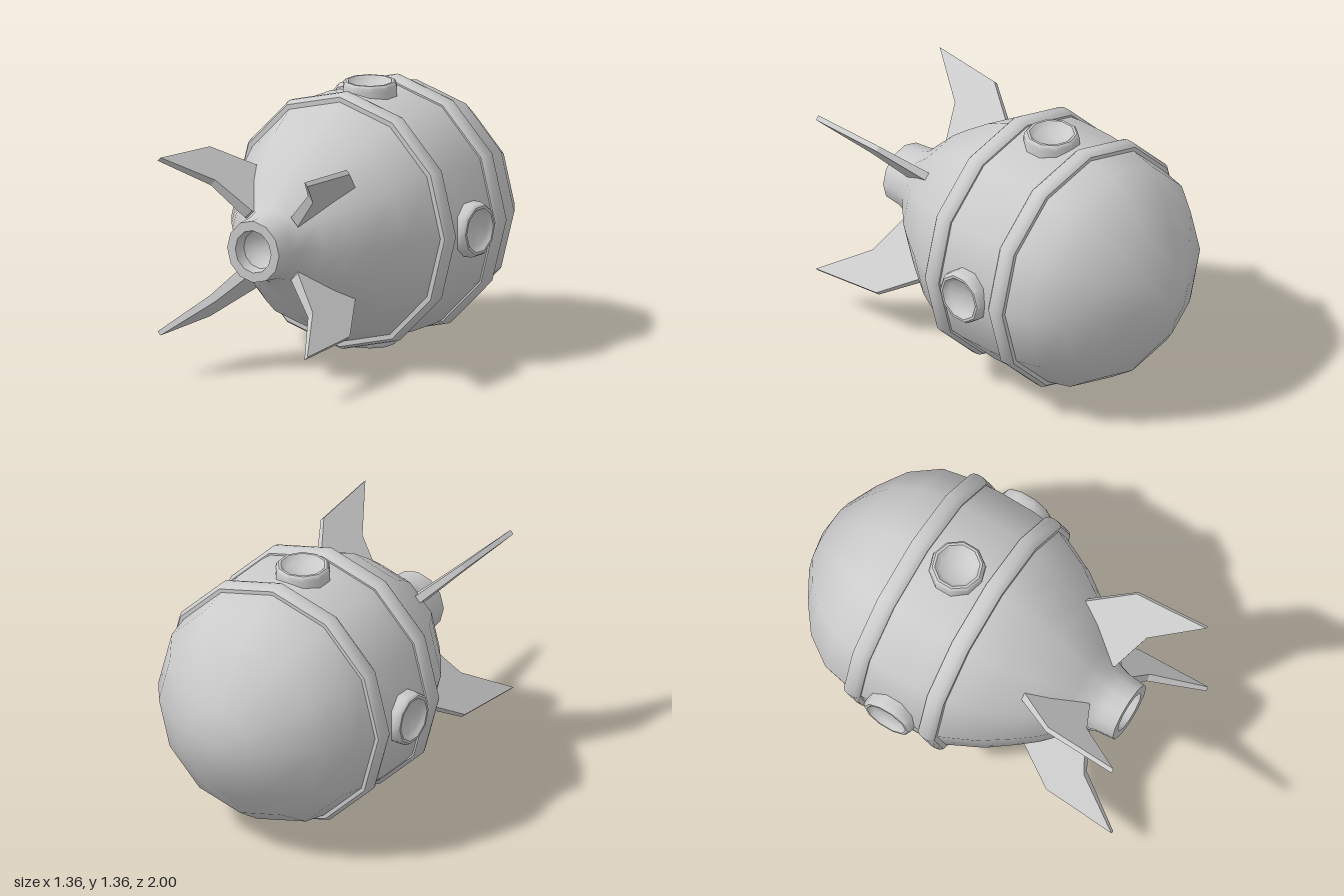
import * as THREE from 'three';
import { toCreasedNormals } from 'three/addons/utils/BufferGeometryUtils.js';

const AXIS_HEIGHT = 0.68;
const material = new THREE.MeshStandardMaterial({ color: 0xcccccc, side: THREE.DoubleSide });

// Turned part from [radius, height] pairs
function turned(name, profile, sides) {
  const points = profile.map(([r, h]) => new THREE.Vector2(r, h));
  const mesh = new THREE.Mesh(toCreasedNormals(new THREE.LatheGeometry(points, sides), 0.75), material);
  mesh.name = name;
  return mesh;
}

// Swept-back fin, outlined as [along axis, radius], thinner towards its tip
function finGeometry() {
  const outline = [[0.34, 0.4], [0.39, 0.44], [0.6, 0.61], [1, 0.64], [0.745, 0.425], [0.66, 0.2], [0.6, 0.16]];
  const shape = new THREE.Shape(outline.map(([z, r]) => new THREE.Vector2(z, r)));
  const geometry = new THREE.ExtrudeGeometry(shape, { depth: 1, bevelEnabled: false });
  const p = geometry.attributes.position;
  for (let i = 0; i < p.count; i++) {
    const z = p.getX(i), r = p.getY(i);
    const half = THREE.MathUtils.mapLinear(r, 0.2, 0.64, 0.03, 0.013);
    p.setXYZ(i, (0.5 - p.getZ(i)) * -2 * half, r, z);
  }
  // The remap mirrors the solid, so restore the winding
  for (let i = 0; i < p.count; i += 3) {
    const b = new THREE.Vector3().fromBufferAttribute(p, i + 1);
    const c = new THREE.Vector3().fromBufferAttribute(p, i + 2);
    p.setXYZ(i + 1, c.x, c.y, c.z);
    p.setXYZ(i + 2, b.x, b.y, b.z);
  }
  geometry.computeVertexNormals();
  return toCreasedNormals(geometry, 0.5);
}

export function createModel() {
  const model = new THREE.Group();
  model.name = 'rocket';
  model.position.y = AXIS_HEIGHT;

  // Hull with nose at -z and hollow nozzle at +z
  const hull = turned('hull', [
    [0, -1], [0.2, -0.955], [0.35, -0.87], [0.495, -0.76], [0.6, -0.61], [0.632, -0.45],
    [0.645, -0.3], [0.645, -0.1], [0.63, 0.05], [0.535, 0.25], [0.43, 0.4], [0.36, 0.49],
    [0.27, 0.58], [0.19, 0.66], [0.17, 0.72], [0.16, 0.82],
    [0.11, 0.82], [0.1, 0.76], [0.06, 0.73], [0, 0.72],
  ], 12);
  hull.rotation.x = Math.PI / 2;
  model.add(hull);

  // Two raised bands
  for (const [name, z] of [['noseBand', -0.423], ['tailBand', 0.018]]) {
    const band = turned(name, [
      [0.61, -0.048], [0.648, -0.048], [0.66, -0.035], [0.666, -0.015],
      [0.666, 0.015], [0.66, 0.035], [0.648, 0.048], [0.61, 0.048],
    ], 12);
    band.rotation.x = Math.PI / 2;
    band.position.z = z;
    model.add(band);
  }

  // Four portholes and four diagonal fins around the axis
  const fin = finGeometry();
  for (let i = 0; i < 4; i++) {
    const mount = new THREE.Group();
    mount.name = 'portholeMount';
    mount.rotation.z = i * Math.PI / 2;
    const porthole = turned('porthole', [
      [0.143, 0.57], [0.143, 0.65], [0.138, 0.67], [0.128, 0.68], [0.115, 0.68],
      [0.105, 0.67], [0.09, 0.655], [0, 0.648],
    ], 10);
    porthole.position.z = -0.2;
    mount.add(porthole);
    model.add(mount);

    const finMesh = new THREE.Mesh(fin, material);
    finMesh.name = 'fin';
    finMesh.rotation.z = (i + 0.5) * Math.PI / 2;
    model.add(finMesh);
  }

  const root = new THREE.Group();
  root.name = 'model';
  root.add(model);
  return root;
}
